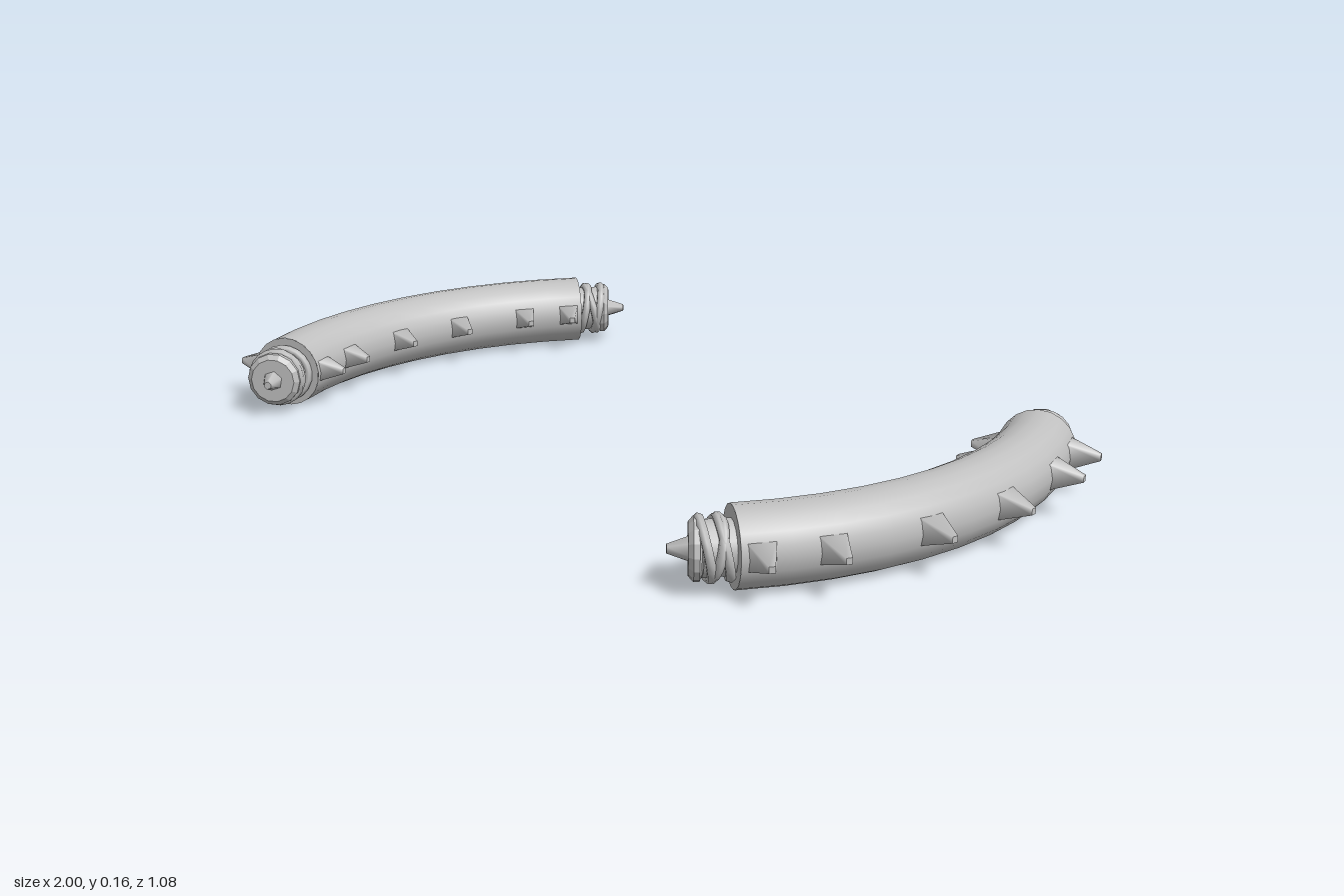
import * as THREE from 'three';

const CX = 0.022, R = 0.848, TUBE = 0.08, Y = 0.082;
const END = THREE.MathUtils.degToRad(31);
const UP = new THREE.Vector3(0, 1, 0);

// curve of the bar: an arc lying flat, bulging outwards (+x)
class BarArc extends THREE.Curve {
  getPoint(t, target = new THREE.Vector3()) {
    const a = (t * 2 - 1) * END;
    return target.set(CX + R * Math.cos(a), Y, R * Math.sin(a));
  }
}

export function createModel() {
  const grey = new THREE.MeshStandardMaterial({ color: 0xc0c0c0 });
  grey.name = 'light grey';
  const add = (parent, name, geo) => {
    const m = new THREE.Mesh(geo, grey);
    m.name = name;
    parent.add(m);
    return m;
  };
  // blunt, softly shaded spike standing on y = 0
  const spikeGeo = (len, base, tip, sides) =>
    new THREE.CylinderGeometry(tip, base, len, sides).rotateY(Math.PI / sides).translate(0, len / 2, 0);
  const sideSpike = spikeGeo(0.08, 0.045, 0.009, 4);
  const endSpike = spikeGeo(0.042, 0.024, 0.009, 6);

  // threaded neck, pointing up +y from the bar end
  const makeNeck = () => {
    const g = new THREE.Group();
    g.name = 'threadedNeck';
    add(g, 'neckCore', new THREE.CylinderGeometry(0.054, 0.054, 0.07, 16).translate(0, 0.027, 0));
    add(g, 'barEndDisc', new THREE.CircleGeometry(TUBE, 20).rotateX(-Math.PI / 2));
    [[0.016, 0.14], [0.034, -0.16], [0.05, 0.14]].forEach(([h, tilt], i) => {
      const ring = add(g, 'threadRing' + (i + 1), new THREE.TorusGeometry(0.057, 0.01, 6, 20).rotateX(Math.PI / 2));
      ring.position.y = h;
      ring.rotation.x = tilt;
      ring.rotation.z = tilt;
    });
    return g;
  };

  // bevelled end plate with its small spike
  const makeHead = () => {
    const g = new THREE.Group();
    g.name = 'endHead';
    const profile = [[0.05, -0.004], [0.061, 0], [0.061, 0.011], [0.05, 0.021], [0, 0.021]];
    const plate = new THREE.LatheGeometry(profile.map(p => new THREE.Vector2(...p)), 14).toNonIndexed();
    plate.computeVertexNormals();
    add(g, 'endPlate', plate);
    add(g, 'endSpike', endSpike).position.y = 0.018;
    return g;
  };

  const makeHandle = (name) => {
    const h = new THREE.Group();
    h.name = name;
    add(h, 'curvedBar', new THREE.TubeGeometry(new BarArc(), 10, TUBE, 20, false));

    for (const s of [1, -1]) {
      const outward = (angle) => new THREE.Vector3(-Math.sin(angle), 0, s * Math.cos(angle));
      const neck = makeNeck();
      neck.position.set(CX + R * Math.cos(END), Y, s * R * Math.sin(END));
      neck.quaternion.setFromUnitVectors(UP, outward(END));
      // the end plate leans a little further inwards than the neck
      const head = makeHead();
      head.position.copy(neck.position).addScaledVector(outward(END), 0.06);
      head.quaternion.setFromUnitVectors(UP, outward(END * 1.33));
      h.add(neck, head);

      // spikes along the outer and inner sides
      for (const deg of [6.6, 20, 28.5]) {
        const b = s * THREE.MathUtils.degToRad(deg);
        for (const [label, side, offset] of [['outerSpike', 1, 0.057], ['innerSpike', -1, 0.05]]) {
          const spike = add(h, label, sideSpike);
          const r = R + side * offset;
          spike.position.set(CX + r * Math.cos(b), Y + 0.004, r * Math.sin(b));
          spike.rotation.order = 'YXZ';
          spike.rotation.set(0, -b, -side * Math.PI / 2);
        }
      }
    }
    return h;
  };

  const model = new THREE.Group();
  model.name = 'spikedHandles';
  const left = makeHandle('leftHandle');
  const right = makeHandle('rightHandle');
  right.rotation.y = Math.PI;
  model.add(left, right);
  return model;
}
